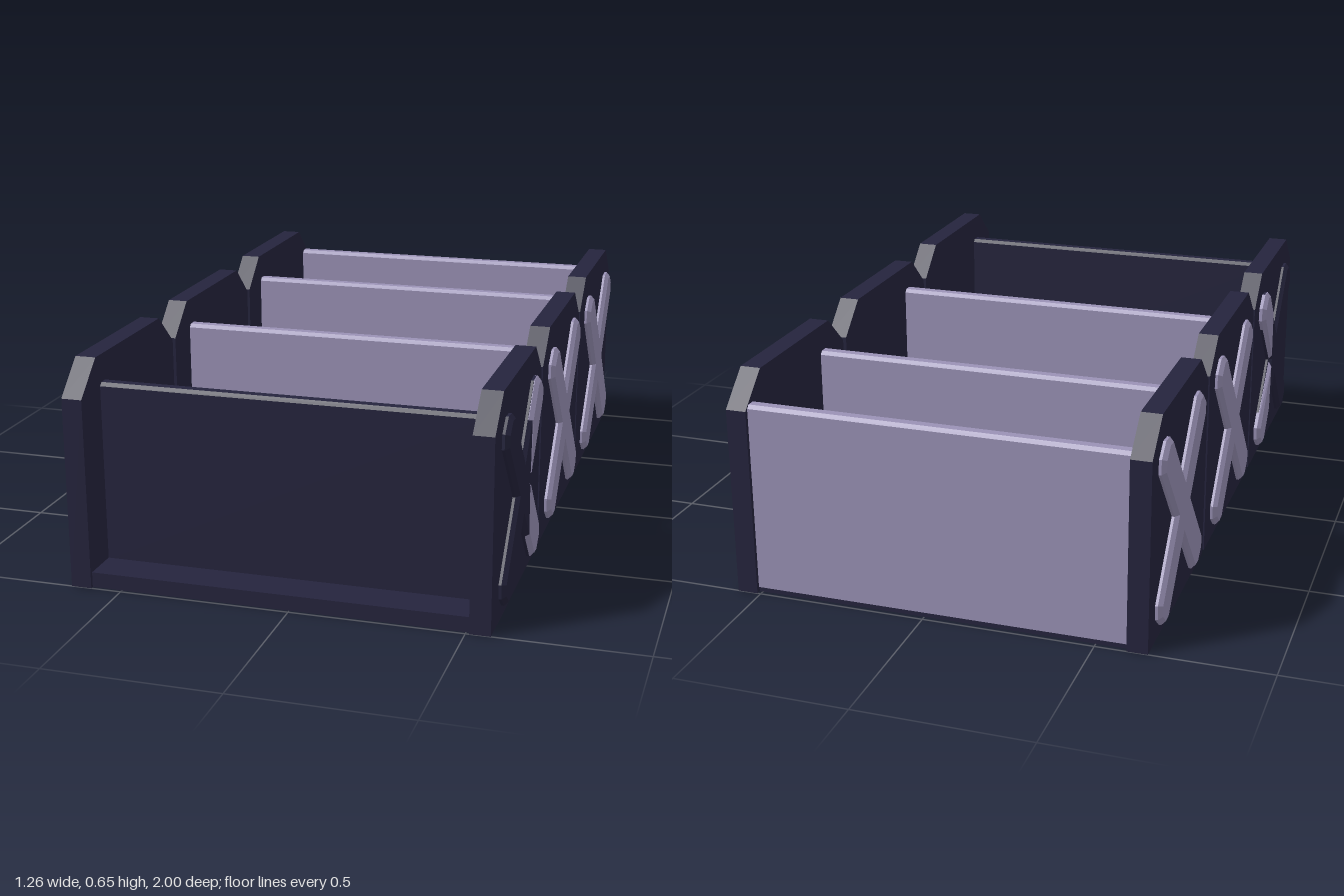
import * as THREE from 'three';

export function createModel() {
  const group = new THREE.Group();
  const dark = new THREE.MeshStandardMaterial({ color: 0x25243d });
  dark.name = 'dark navy';
  const lilac = new THREE.MeshStandardMaterial({ color: 0x9a92b6 });
  lilac.name = 'dusty lilac';

  const CX = -0.04;      // middle of the crate across x
  const INNER = 0.55;    // half width between the side panels
  const THICK = 0.06;    // side panel thickness

  function add(name, geometry, material, x, y, z) {
    const mesh = new THREE.Mesh(geometry, material);
    mesh.name = name;
    mesh.position.set(x, y, z);
    group.add(mesh);
  }

  // Extrudes a (-z, y) outline along x, centred on its thickness
  function slab(points, width, bevel = 0) {
    const shape = new THREE.Shape(points.map(([a, b]) => new THREE.Vector2(a, b)));
    const depth = width - 2 * bevel;
    const g = new THREE.ExtrudeGeometry(shape, {
      depth, bevelEnabled: bevel > 0, bevelThickness: bevel,
      bevelSize: bevel, bevelOffset: -bevel, bevelSegments: 1,
    });
    g.translate(0, 0, -depth / 2);
    g.rotateY(Math.PI / 2);
    return g;
  }

  // Floor
  add('floor', new THREE.BoxGeometry(1.2, 0.045, 1.975), dark, CX, 0.0225, 0.0025);

  // Cross boards with a chamfered top edge
  function board(bottom) {
    const h = 0.0225, top = 0.575, c = 0.01;
    return slab([[-h, bottom], [h, bottom], [h, top - c], [h - c, top], [c - h, top], [-h, top - c]], 2 * INNER);
  }
  add('frontBoard', board(0.04), dark, CX, 0, 0.855);
  add('frontDivider', board(0.04), lilac, CX, 0, 0.183);
  add('rearDivider', board(0.04), lilac, CX, 0, -0.488);
  add('backBoard', board(0.015), lilac, CX, 0, -0.966);

  // Side panels with clipped upper corners
  const panel = slab([[-0.326, 0], [0.326, 0], [0.326, 0.56], [0.225, 0.655],
    [-0.225, 0.655], [-0.326, 0.56]], THICK);

  // Raised cross: bars of half width w and half length L at a steep angle
  const ang = 0.855, w = 0.058, L = 0.335, c = 0.03;
  const cos = Math.cos(ang), sin = Math.sin(ang);
  const vCrotch = w / cos, hCrotch = w / sin;
  // Clipped end of the upper arm on the +a side, from its lower to its upper edge
  const tip = [[L - c, -w], [L, c - w], [L, w - c], [L - c, w]]
    .map(([u, v]) => [u * cos - v * sin, u * sin + v * cos]);
  const flipX = (pts) => pts.map(([a, b]) => [-a, b]).reverse();
  const flipY = (pts) => pts.map(([a, b]) => [a, -b]).reverse();
  const crossPoints = [
    [hCrotch, 0], ...tip, [0, vCrotch], ...flipX(tip),
    [-hCrotch, 0], ...flipY(flipX(tip)), [0, -vCrotch], ...flipY(tip),
  ];
  const cross = slab(crossPoints, 0.04, 0.012);

  // Lilac covers for the two rear arms of the front crosses
  const cut = hCrotch;
  const armPoints = [[cut, 0.005], ...tip, [cut, cut * Math.tan(ang) + vCrotch]];
  const upperArm = slab(armPoints, 0.045, 0.012);
  const lowerArm = slab(flipY(armPoints), 0.045, 0.012);

  for (const side of [-1, 1]) {
    const sideName = side > 0 ? 'left' : 'right';
    const xPanel = CX + side * (INNER + THICK / 2);
    const xFace = CX + side * (INNER + THICK);
    for (const i of [1, 0, -1]) {
      const bay = ['Rear', 'Middle', 'Front'][i + 1];
      add(`${sideName}${bay}Panel`, panel, dark, xPanel, 0, i * 0.674);
      const zCross = i * 0.68 - 0.01;
      add(`${sideName}${bay}Cross`, cross, i === 1 ? dark : lilac, xFace, 0.305, zCross);
      if (i === 1) {
        add(`${sideName}UpperArmCover`, upperArm, lilac, xFace, 0.305, zCross - 0.001);
        add(`${sideName}LowerArmCover`, lowerArm, lilac, xFace, 0.305, zCross - 0.001);
      }
    }
  }
  return group;
}
